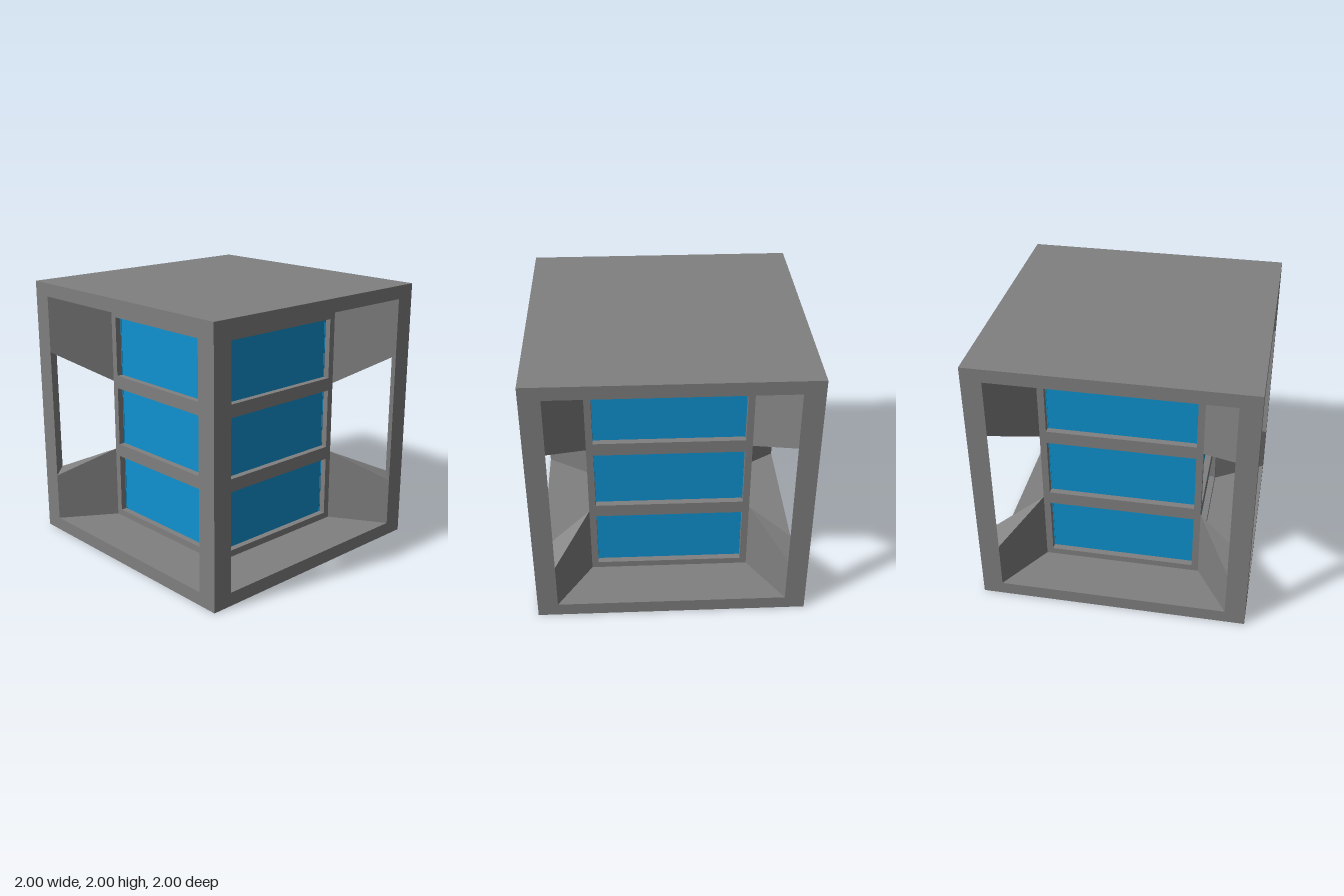
import * as THREE from 'three';

const frameGrey = new THREE.MeshStandardMaterial({ color: 0x808080 });
frameGrey.name = 'frame grey';
const windowBlue = new THREE.MeshStandardMaterial({ color: 0x0f92d0 });
windowBlue.name = 'window blue';

function add(parent, name, geometry, material) {
  const mesh = new THREE.Mesh(geometry, material);
  mesh.name = name;
  parent.add(mesh);
  return mesh;
}

// Flat-sided triangular prism; each corner is [x, z, bottomY, topY], counterclockwise from above
function triPrism(corners) {
  const low = corners.map(([x, z, y]) => [x, y, z]);
  const high = corners.map(([x, z, , y]) => [x, y, z]);
  const tris = [high[0], high[1], high[2], low[2], low[1], low[0]];
  for (let i = 0; i < 3; i++) {
    const j = (i + 1) % 3;
    tris.push(low[i], low[j], high[j], low[i], high[j], high[i]);
  }
  const geometry = new THREE.BufferGeometry();
  geometry.setAttribute('position', new THREE.Float32BufferAttribute(tris.flat(), 3));
  geometry.computeVertexNormals();
  return geometry;
}

// Square-cornered wall panel with three window openings
const CORE = 0.6, CORE_TOP = 1.78, BASE = 0.1, RECESS = 0.05;
const WIN_W = 1.11, WIN_H = 0.46, WIN_Y = [0.38, 0.94, 1.5];

function wallGeometry() {
  const rect = (Type, x, y0, y1) => new Type([[-x, y0], [x, y0], [x, y1], [-x, y1]]
    .map(([px, py]) => new THREE.Vector2(px, py)));
  const shape = rect(THREE.Shape, CORE, BASE, CORE_TOP);
  for (const y of WIN_Y) shape.holes.push(rect(THREE.Path, WIN_W / 2, y - WIN_H / 2, y + WIN_H / 2));
  return new THREE.ExtrudeGeometry(shape, { depth: RECESS, bevelEnabled: false });
}

export function createModel() {
  const model = new THREE.Group();
  model.name = 'pavilion';

  // Floor and roof slabs
  add(model, 'floorSlab', new THREE.BoxGeometry(2, 0.1, 2), frameGrey).position.y = 0.05;
  add(model, 'roofSlab', new THREE.BoxGeometry(2, 0.1, 2), frameGrey).position.y = 1.95;

  // Sloping underside of the roof, tapering down to the core
  const soffit = new THREE.CylinderGeometry(Math.SQRT2, CORE * Math.SQRT2, 1.9 - CORE_TOP, 4, 1, true)
    .rotateY(Math.PI / 4).toNonIndexed();
  soffit.computeVertexNormals();
  add(model, 'roofSoffit', soffit, frameGrey).position.y = (1.9 + CORE_TOP) / 2;

  const wall = wallGeometry();
  const pane = new THREE.BoxGeometry(WIN_W, WIN_H, 0.008);

  // Plan points of a corner: core edge, post inner edges, post outer edge
  const A = [CORE, CORE], B = [0.85, 1], C = [1, 0.85], D = [1, 1];
  const post = triPrism([[...B, BASE, 1.9], [...D, BASE, 1.9], [...C, BASE, 1.9]]);
  const lowerFin = triPrism([[...A, BASE, 0.66], [...B, BASE, 0.465], [...C, BASE, 0.465]]);
  const upperFin = triPrism([[...A, 1.22, 1.9], [...B, 1.47, 1.9], [...C, 1.47, 1.9]]);

  // Four identical sides, each with a wall, its windows and one corner
  ['front', 'left', 'back', 'right'].forEach((name, i) => {
    const side = new THREE.Group();
    side.name = name + 'Side';
    side.rotation.y = i * Math.PI / 2;
    model.add(side);

    add(side, 'coreWall', wall, frameGrey).position.z = CORE - RECESS;
    WIN_Y.forEach((y, k) => {
      add(side, 'window' + (k + 1), pane, windowBlue).position.set(0, y, CORE - RECESS - 0.003);
    });

    add(side, 'cornerPost', post, frameGrey);
    add(side, 'lowerFin', lowerFin, frameGrey);
    add(side, 'upperFin', upperFin, frameGrey);
  });

  return model;
}
